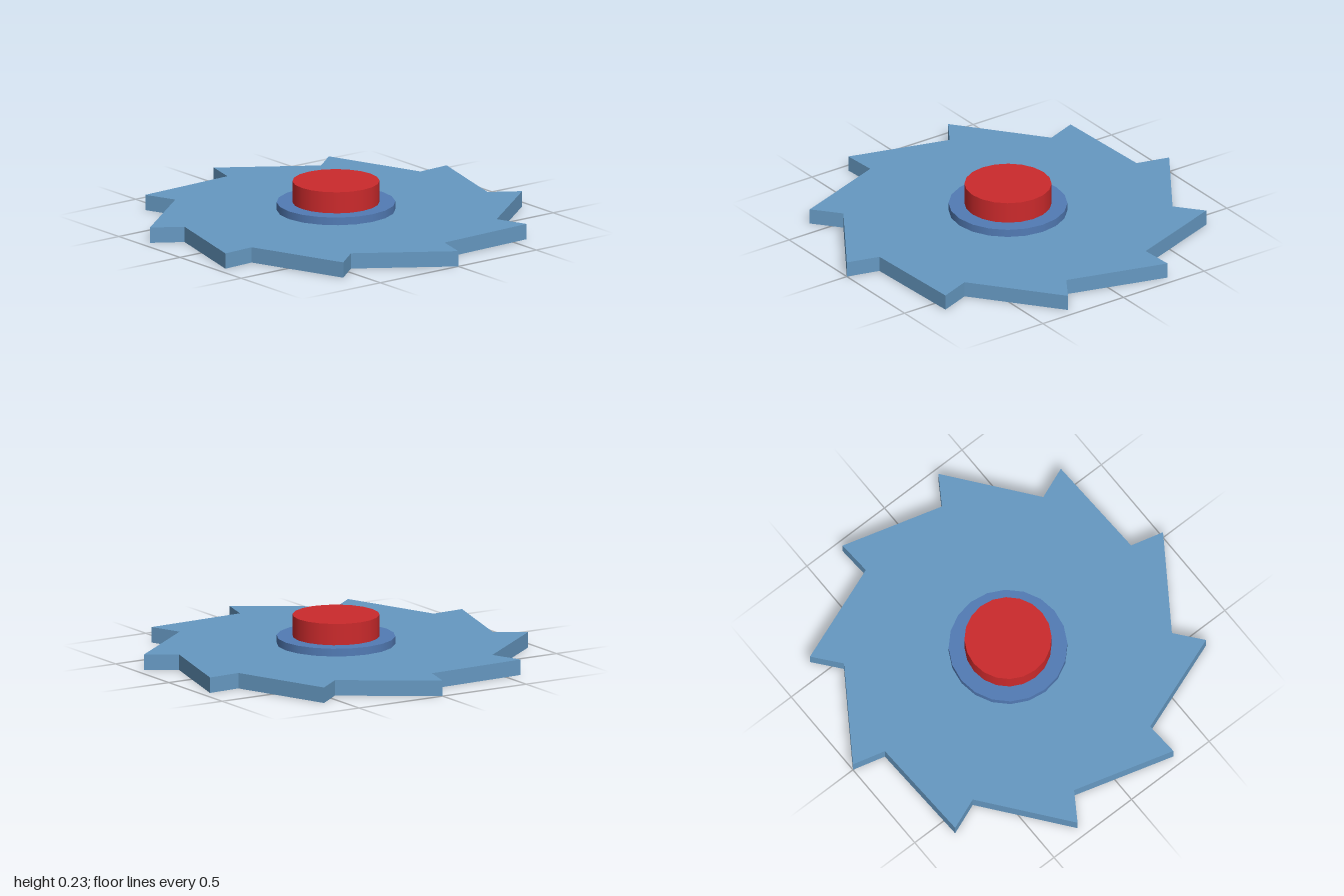
import * as THREE from 'three';

const SIDES = 20, TEETH = 10;
const PLATE_Y = 0.08, COLLAR_Y = 0.12, HUB_Y = 0.23;
const COLLAR_R = 0.3, HUB_R = 0.22;

const paint = (color) => new THREE.MeshStandardMaterial({ color, side: THREE.DoubleSide });

export function createModel() {
  const model = new THREE.Group();
  const blue = paint(0x6699c2), darkBlue = paint(0x527bb5), red = paint(0xcc2a2c);

  const add = (name, geometry, material, parent = model) => {
    const mesh = new THREE.Mesh(geometry, material);
    mesh.name = name;
    parent.add(mesh);
  };
  const group = (name) => {
    const g = new THREE.Group();
    g.name = name;
    model.add(g);
    return g;
  };
  // Flat geometry laid horizontally at height y, facing up
  const lay = (geometry, y) => geometry.rotateX(-Math.PI / 2).translate(0, y, 0);
  // Open round wall between two heights
  const wall = (r, y0, y1) =>
    new THREE.CylinderGeometry(r, r, y1 - y0, SIDES, 1, true).translate(0, (y0 + y1) / 2, 0);

  // Saw-tooth outline: a tip and a nearby notch for each tooth
  const outline = [];
  const polar = (r, a) => new THREE.Vector2(r * Math.cos(a), r * Math.sin(a));
  for (let i = 0; i < TEETH; i++) {
    const a = (i / TEETH) * Math.PI * 2;
    outline.push(polar(1, a), polar(0.831, a + 0.054));
  }

  // Toothed plate: thin top with a centre hole, and a skirt down to the ground
  const blade = group('toothedBlade');
  const shape = new THREE.Shape(outline);
  const hole = [];
  for (let i = 0; i < SIDES; i++) hole.push(polar(COLLAR_R, (-i / SIDES) * Math.PI * 2));
  shape.holes.push(new THREE.Path(hole));
  add('bladeTop', lay(new THREE.ShapeGeometry(shape), PLATE_Y), blue, blade);

  const skirt = [];
  outline.forEach((p, i) => {
    const q = outline[(i + 1) % outline.length];
    const a = [p.x, 0, -p.y], b = [q.x, 0, -q.y];
    const c = [q.x, PLATE_Y, -q.y], d = [p.x, PLATE_Y, -p.y];
    skirt.push(...a, ...b, ...c, ...a, ...c, ...d);
  });
  const skirtGeometry = new THREE.BufferGeometry();
  skirtGeometry.setAttribute('position', new THREE.Float32BufferAttribute(skirt, 3));
  skirtGeometry.computeVertexNormals();
  add('bladeEdge', skirtGeometry, blue, blade);

  // Collar step, open underneath
  const collar = group('collar');
  add('collarWall', wall(COLLAR_R, PLATE_Y, COLLAR_Y), darkBlue, collar);
  add('collarTop', lay(new THREE.RingGeometry(HUB_R, COLLAR_R, SIDES), COLLAR_Y), darkBlue, collar);

  // Hub cap, hollow from below
  const hub = group('hub');
  add('hubWall', wall(HUB_R, COLLAR_Y, HUB_Y), red, hub);
  add('hubTop', lay(new THREE.CircleGeometry(HUB_R, SIDES), HUB_Y), red, hub);

  return model;
}
